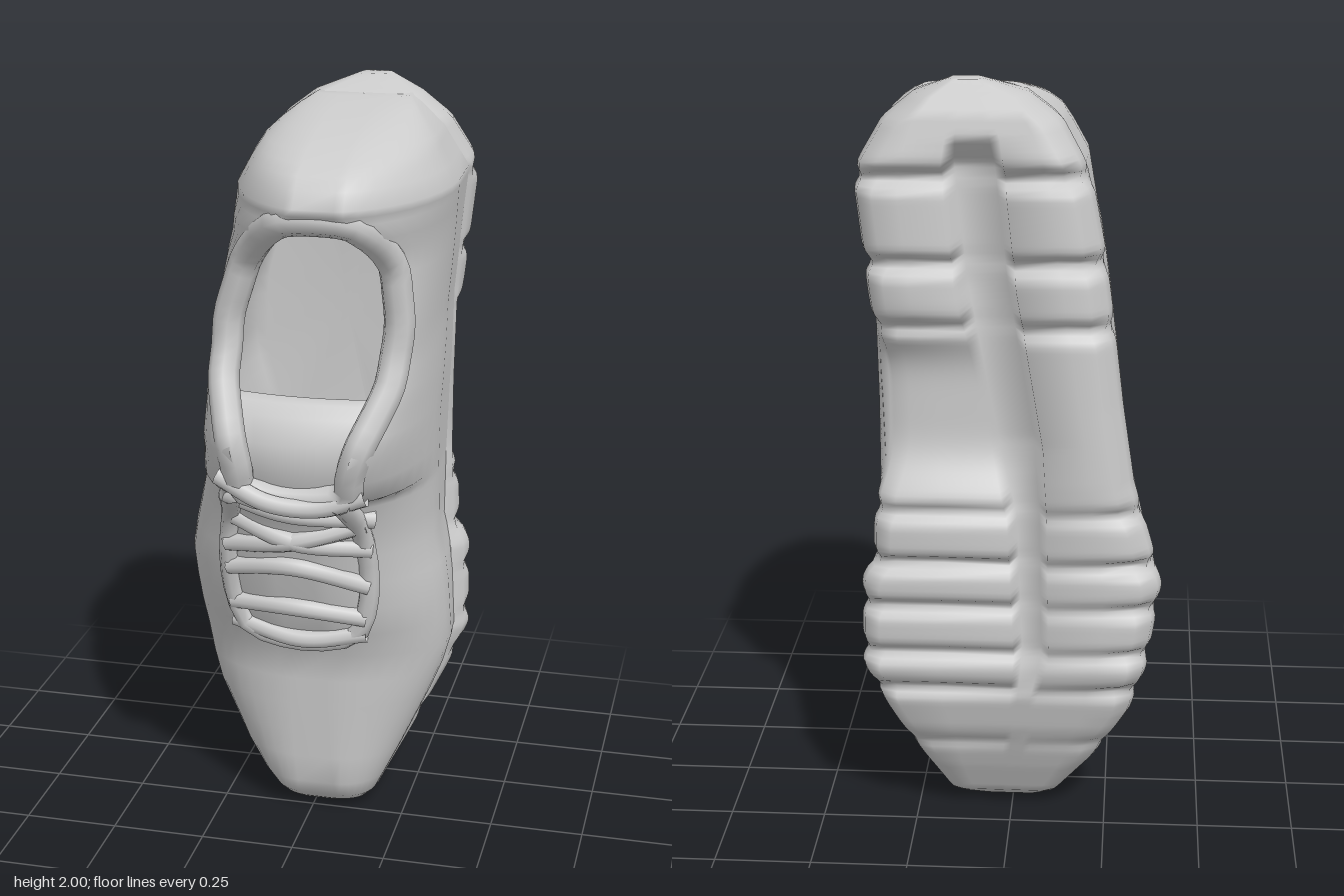
import * as THREE from 'three';

const V = (x, y, z) => new THREE.Vector3(x, y, z);
const material = new THREE.MeshStandardMaterial({ color: 0xcccccc, side: THREE.DoubleSide });

// Piecewise-linear lookup in rows of [y, value, value...]
function at(table, y, col = 1) {
  if (y <= table[0][0]) return table[0][col];
  for (let i = 1; i < table.length; i++) {
    const a = table[i - 1], b = table[i];
    if (y <= b[0]) return THREE.MathUtils.lerp(a[col], b[col], (y - a[0]) / (b[0] - a[0]));
  }
  return table[table.length - 1][col];
}

// Outline of the shoe: y, x on each side
const OUTLINE = [[0.005, -0.07, 0.08], [0.03, -0.11, 0.16], [0.18, -0.22, 0.24], [0.35, -0.315, 0.325],
  [0.48, -0.355, 0.38], [0.72, -0.39, 0.375], [0.79, -0.375, 0.345], [1, -0.315, 0.335], [1.2, -0.285, 0.335],
  [1.45, -0.255, 0.34], [1.6, -0.235, 0.355], [1.78, -0.2, 0.375], [1.9, -0.13, 0.305], [1.96, -0.05, 0.23], [2, 0.06, 0.14]];
// Ridge line of the upper
const RIDGE = [[0.01, -0.03], [0.04, 0.015], [0.1, 0.05], [0.3, 0.063], [0.5, 0.075], [0.57, 0.12], [0.7, 0.165], [0.8, 0.195],
  [0.95, 0.24], [1.02, 0.3], [1.15, 0.35], [1.25, 0.295], [1.35, 0.23], [1.45, 0.215], [1.6, 0.225], [1.66, 0.26],
  [1.74, 0.355], [1.78, 0.38], [1.85, 0.33], [1.89, 0.23], [1.92, 0.13], [1.945, 0], [1.97, -0.15]];
// Roundness of the upper: fraction of the width, and how fast the sides lean in
const SHAPE = [[0, 0.96, 1], [0.4, 0.94, 1.1], [0.7, 0.92, 1.2], [1, 0.95, 1.25], [1.25, 0.97, 1.1], [1.5, 0.97, 1.05], [1.66, 0.96, 1.4], [1.9, 0.96, 1.25], [2, 0.96, 1]];
// Joint between upper and sole, and the tread
const JOINT = [[0.005, -0.08], [0.05, -0.11], [0.15, -0.15], [0.3, -0.2], [0.5, -0.235], [1, -0.25], [1.75, -0.24], [1.92, -0.17], [1.96, -0.18], [2, -0.28]];
const TREAD = [[0.005, -0.1], [0.05, -0.165], [0.15, -0.22], [0.3, -0.29], [0.48, -0.345], [1, -0.37], [1.82, -0.378], [1.92, -0.355], [2, -0.315]];
// Half width of the foot opening
const OPENING = [[1, 0.085], [1.15, 0.115], [1.3, 0.17], [1.45, 0.178], [1.6, 0.15], [1.7, 0.095], [1.75, 0.02]];
// Groove along the sole: y, centre line, depth, half width
const GROOVE = [[0, 0.01, 0, 0.02], [0.4, -0.04, 0, 0.02], [0.52, -0.06, 0.05, 0.03], [0.9, -0.05, 0.07, 0.035],
  [1.1, -0.02, 0.09, 0.055], [1.5, 0.05, 0.09, 0.06], [1.8, 0.08, 0.08, 0.06], [1.87, 0.08, 0, 0.05], [2, 0.1, 0, 0.02]];
// Gaps between the lugs: y, strength
const NOTCHES = [[0.24, 0.4], [0.42, 0.8], [0.53, 0.8], [0.66, 0.8], [0.78, 1], [0.92, 0.7], [1.4, 0.7], [1.56, 1], [1.77, 1]];

// Skin a grid of points; skip(i, j) leaves a quad open
function skin(name, rows, skip = () => false) {
  const n = rows[0].length, index = [];
  for (let i = 0; i < rows.length - 1; i++) {
    for (let j = 0; j < n - 1; j++) {
      if (skip(i, j)) continue;
      const a = i * n + j, d = a + n;
      index.push(a, a + 1, d + 1, a, d + 1, d);
    }
  }
  const g = new THREE.BufferGeometry().setFromPoints(rows.flat());
  g.setIndex(index);
  g.computeVertexNormals();
  return named(name, g);
}

function named(name, geometry) {
  const m = new THREE.Mesh(geometry, material);
  m.name = name;
  return m;
}

function tube(name, points, radius, closed = false) {
  const path = new THREE.CatmullRomCurve3(points, closed);
  return named(name, new THREE.TubeGeometry(path, closed ? 64 : 24, radius, 8, closed));
}

// Close the ends of a loft on the middle of its end rows
function capped(rows) {
  const end = (row) => {
    const c = new THREE.Box3().setFromPoints(row).getCenter(V(0, 0, 0));
    return row.map(() => c.clone());
  };
  return [end(rows[0]), ...rows, end(rows[rows.length - 1])];
}

// Measurements of the upper at a height
function section(y) {
  const l = at(OUTLINE, y), r = at(OUTLINE, y, 2);
  const c = (l + r) / 2, w = (r - l) / 2 * at(SHAPE, y);
  const zf = at(RIDGE, y), zs = at(JOINT, y);
  const open = y > 1 && y < 1.75;
  const h = open ? at(OPENING, y) + 0.035 : Math.min(0.05, w * 0.35);
  return { c, w, zf, zs, zm: zs + 0.3 * (zf - zs), h, lean: at(SHAPE, y, 2) };
}

function surfaceZ(x, y) {
  const s = section(y);
  const t = THREE.MathUtils.clamp((Math.abs(x - s.c) - s.h) / (s.w - s.h), 0, 1) ** (1 / s.lean);
  return s.zm + (s.zf - s.zm) * Math.sqrt(1 - t * t);
}

function makeUpper() {
  const ys = [0.01, 0.025, 0.05, 0.1];
  for (let y = 0.18; y < 1; y += 0.08) ys.push(y);
  ys.push(1, 1.02, 1.08, 1.15, 1.2, 1.25, 1.3, 1.35, 1.4, 1.45, 1.53, 1.6, 1.66, 1.7, 1.74, 1.76,
    1.78, 1.82, 1.85, 1.87, 1.89, 1.92, 1.945, 1.965);
  const N = 9;
  const rows = ys.map((y) => {
    const s = section(y), half = [[s.w * 0.97, s.zs - 0.02]];
    for (let k = 0; k <= N; k++) {
      const t = (1 - k / N) * Math.PI / 2;
      half.push([s.h + (s.w - s.h) * Math.sin(t) ** s.lean, s.zm + (s.zf - s.zm) * Math.cos(t)]);
    }
    return [...half.map(([x, z]) => V(s.c - x, y, z)), ...half.reverse().map(([x, z]) => V(s.c + x, y, z))];
  });
  const all = capped(rows);
  return skin('upper', all, (i, j) => {
    const y = (all[i][0].y + all[i + 1][0].y) / 2;
    return j === N + 1 && y > 1 && y < 1.75;
  });
}

function makeSole() {
  const rows = [], steps = 150;
  for (let i = 0; i <= steps; i++) {
    const y = 0.005 + 1.995 * i / steps;
    const l = at(OUTLINE, y), r = at(OUTLINE, y, 2), zs = at(JOINT, y), zb = at(TREAD, y);
    const k = Math.min(1, (r - l) / 0.4), d = zs - zb;
    const cut = k * Math.max(...NOTCHES.map(([n, s]) => s * Math.exp(-(((y - n) / 0.02) ** 2))));
    const gx = at(GROOVE, y), depth = at(GROOVE, y, 2), gw = at(GROOVE, y, 3) * k;
    // the arch is hollowed on one side, level with the groove
    const arch = 0.085 * Math.exp(-(((y - 1.18) / 0.2) ** 4));
    // s is the side, lift raises the tread, reach carries the gaps towards the groove
    const side = (edge, s, lift, reach) => {
      const e = edge - s * (0.018 * cut + 0.45 * lift), z = zb + lift, gap = 0.35 * d * cut;
      const inner = gx + s * (gw + 0.015 * k);
      return [[edge - s * 0.04 * k, zs + 0.02], [edge - s * 0.01 * k, zs - 0.1 * d], [e, zs - 0.4 * (d - lift)],
        [e - s * 0.01 * k, zs - 0.7 * (d - lift)], [e - s * 0.05 * k, z + gap],
        [(e + inner) / 2, z + gap * reach], [inner, z + gap * reach * 0.7], [gx + s * gw * 0.8, zb + Math.max(depth, lift)]];
    };
    const heel = at([[1.2, 0], [1.4, 1]], y);
    const right = side(r, 1, arch, 1), left = side(l, -1, 0, 0.5 + 0.5 * heel).reverse();
    rows.push([...right, ...left, right[0]].map(([x, z]) => V(x, y, z)));
  }
  return skin('sole', capped(rows));
}

function makeCollar(group) {
  // padded rim around the foot opening
  const ys = [1.03, 1.1, 1.17, 1.24, 1.31, 1.38, 1.46, 1.54, 1.61, 1.67, 1.715, 1.74];
  const edge = (y, s) => { const q = section(y); return V(q.c + s * (q.h + 0.006), y, q.zf - 0.034); };
  const loop = [...ys.map((y) => edge(y, 1)), ...ys.slice().reverse().map((y) => edge(y, -1))];
  group.add(tube('collar', loop, 0.04, true));

  // lining runs down from the rim to the insole
  const ring = new THREE.CatmullRomCurve3(loop, true).getPoints(48);
  const level = (t, grow) => ring.map((p) => V(0.05 + (p.x - 0.05) * grow, 1.4 + (p.y - 1.4) * (1 + 0.15 * t),
    THREE.MathUtils.lerp(p.z, -0.17, t)));
  const rows = [level(0, 1), level(0.3, 1.04), level(0.7, 1.08), level(0.95, 1.05), level(1, 0.95), ring.map(() => V(0.05, 1.4, -0.17))];
  group.add(skin('lining', rows));
}

function makeTongue() {
  const rows = [];
  for (const [y, drop] of [[0.94, 0.02], [1, 0.02], [1.08, 0.04], [1.16, 0.05], [1.22, 0.06], [1.25, 0.07], [1.262, 0.085], [1.25, 0.11], [1.15, 0.12]]) {
    const s = section(y), w = at(OPENING, y) + 0.025, row = [];
    for (let j = -4; j <= 4; j++) row.push(V(s.c + w * j / 4, y, s.zf - drop - 0.02 * (j / 4) ** 2));
    rows.push(row);
  }
  return skin('tongue', rows);
}

function makeLacing() {
  const g = new THREE.Group();
  g.name = 'lacing';
  const on = ([x, y], lift) => V(x, y, surfaceZ(x, y) + lift);
  // padded edge around the throat
  const half = [[0.14, 1.02], [0.165, 0.92], [0.18, 0.8], [0.175, 0.68], [0.14, 0.585]];
  const throat = [...half, [0, 0.55], ...half.slice().reverse().map(([x, y]) => [-x - 0.01, y])];
  g.add(tube('throatEdge', throat.map((p) => on(p, 0)), 0.028));
  const laces = [
    [[-0.18, 1.07], [-0.05, 1.01], [0.08, 1.0], [0.2, 1.04]],
    [[-0.19, 0.99], [0, 0.97], [0.2, 0.94]],
    [[-0.18, 0.93], [0, 0.88], [0.19, 0.85]],
    [[-0.19, 0.84], [0, 0.88], [0.18, 0.93]],
    [[-0.19, 0.77], [0, 0.8], [0.18, 0.74]],
    [[-0.19, 0.66], [0, 0.67], [0.17, 0.64]],
    [[-0.19, 0.6], [0, 0.565], [0.17, 0.59]]];
  for (const lace of laces) g.add(tube('lace', lace.map((p) => on(p, 0.01)), 0.025));
  return g;
}

export function createModel() {
  const shoe = new THREE.Group();
  shoe.name = 'shoe';
  shoe.add(makeUpper(), makeSole(), makeTongue(), makeLacing());
  makeCollar(shoe);
  return shoe;
}
